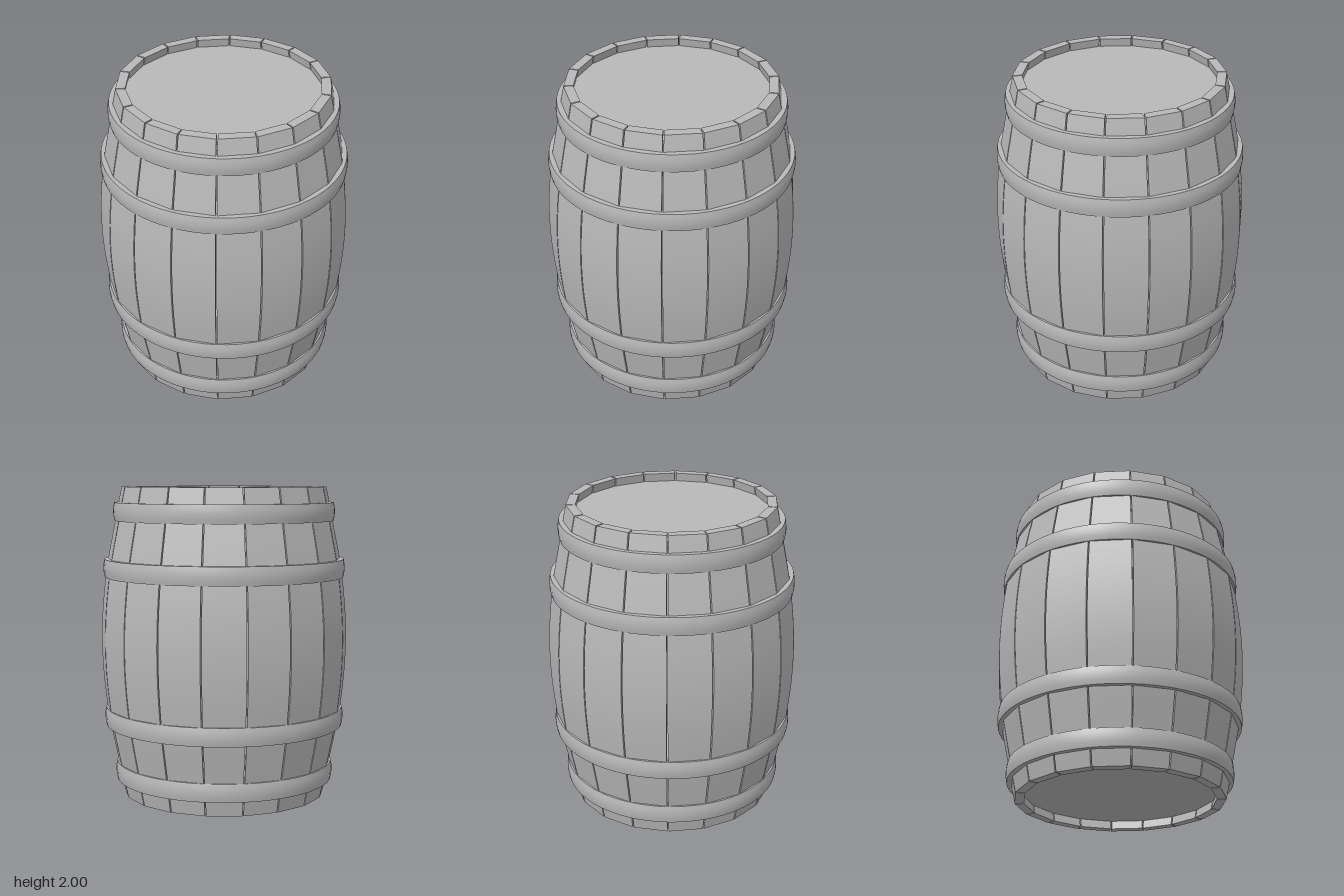
import * as THREE from 'three';
import { toCreasedNormals } from 'three/addons/utils/BufferGeometryUtils.js';

const STAVES = 18;
const HALF = Math.PI / STAVES;
const THICK = 0.06;
const GAP = 0.004;

// Corner radius of the barrel wall by height, mirrored about the middle
const lower = [[0.66, 0], [0.681, 0.1], [0.704, 0.22], [0.752, 0.46], [0.773, 0.6], [0.793, 0.8]];
const upper = lower.map(([r, y]) => [r, 2 - y]).reverse();
const wall = new THREE.SplineCurve(
  [...lower, [0.8, 1], ...upper].map(([r, y]) => new THREE.Vector2(r, y))
).getPoints(36);

// One curved plank: flat across, smooth along its height, crisp at its edges
function staveGeometry() {
  const sections = wall.map(({ x: r, y }) => {
    const corner = (radius, side) => [
      side * (radius * Math.sin(HALF) - GAP), y, radius * Math.cos(HALF)];
    return [corner(r, -1), corner(r, 1), corner(r - THICK, 1), corner(r - THICK, -1)];
  });
  const positions = [];
  const index = [];
  for (let side = 0; side < 4; side++) {
    const start = positions.length / 3;
    sections.forEach((s) => positions.push(...s[side], ...s[(side + 1) % 4]));
    for (let i = 0; i < sections.length - 1; i++) {
      const a = start + i * 2;
      index.push(a, a + 1, a + 3, a, a + 3, a + 2);
    }
  }
  // End caps
  for (const cap of [sections[sections.length - 1], [...sections[0]].reverse()]) {
    const a = positions.length / 3;
    cap.forEach((p) => positions.push(...p));
    index.push(a, a + 1, a + 2, a, a + 2, a + 3);
  }
  const geometry = new THREE.BufferGeometry();
  geometry.setAttribute('position', new THREE.Float32BufferAttribute(positions, 3));
  geometry.setIndex(index);
  geometry.computeVertexNormals();
  return geometry;
}

// Round band with a slightly bulging face
function hoopGeometry(radius, height) {
  const h = height / 2;
  const profile = [
    [radius - 0.05, -h], [radius, -h], [radius + 0.006, -h * 0.5], [radius + 0.008, 0],
    [radius + 0.006, h * 0.5], [radius, h], [radius - 0.05, h],
  ].map(([r, y]) => new THREE.Vector2(r, y));
  return toCreasedNormals(new THREE.LatheGeometry(profile, 72), 0.6);
}

export function createModel() {
  const barrel = new THREE.Group();
  barrel.name = 'barrel';
  const grey = new THREE.MeshStandardMaterial({ color: 0xb8b8b8 });
  grey.name = 'plain grey';

  function add(name, geometry, y = 0) {
    const mesh = new THREE.Mesh(geometry, grey);
    mesh.name = name;
    mesh.position.y = y;
    barrel.add(mesh);
    return mesh;
  }

  // Ring of staves, one centred on the front
  const stave = staveGeometry();
  for (let i = 0; i < STAVES; i++) {
    add('stave', stave).rotation.y = i * HALF * 2;
  }

  // Two pairs of hoops
  const endHoop = hoopGeometry(0.706, 0.116);
  const bellyHoop = hoopGeometry(0.773, 0.116);
  for (const side of [-1, 1]) {
    add('endHoop', endHoop, 1 + side * 0.842);
    add('bellyHoop', bellyHoop, 1 + side * 0.482);
  }

  // Recessed heads closing both ends
  const head = new THREE.CylinderGeometry(0.625, 0.625, 0.04, STAVES);
  head.rotateY(HALF);
  add('topHead', head, 1.925);
  add('bottomHead', head, 0.075);

  return barrel;
}
